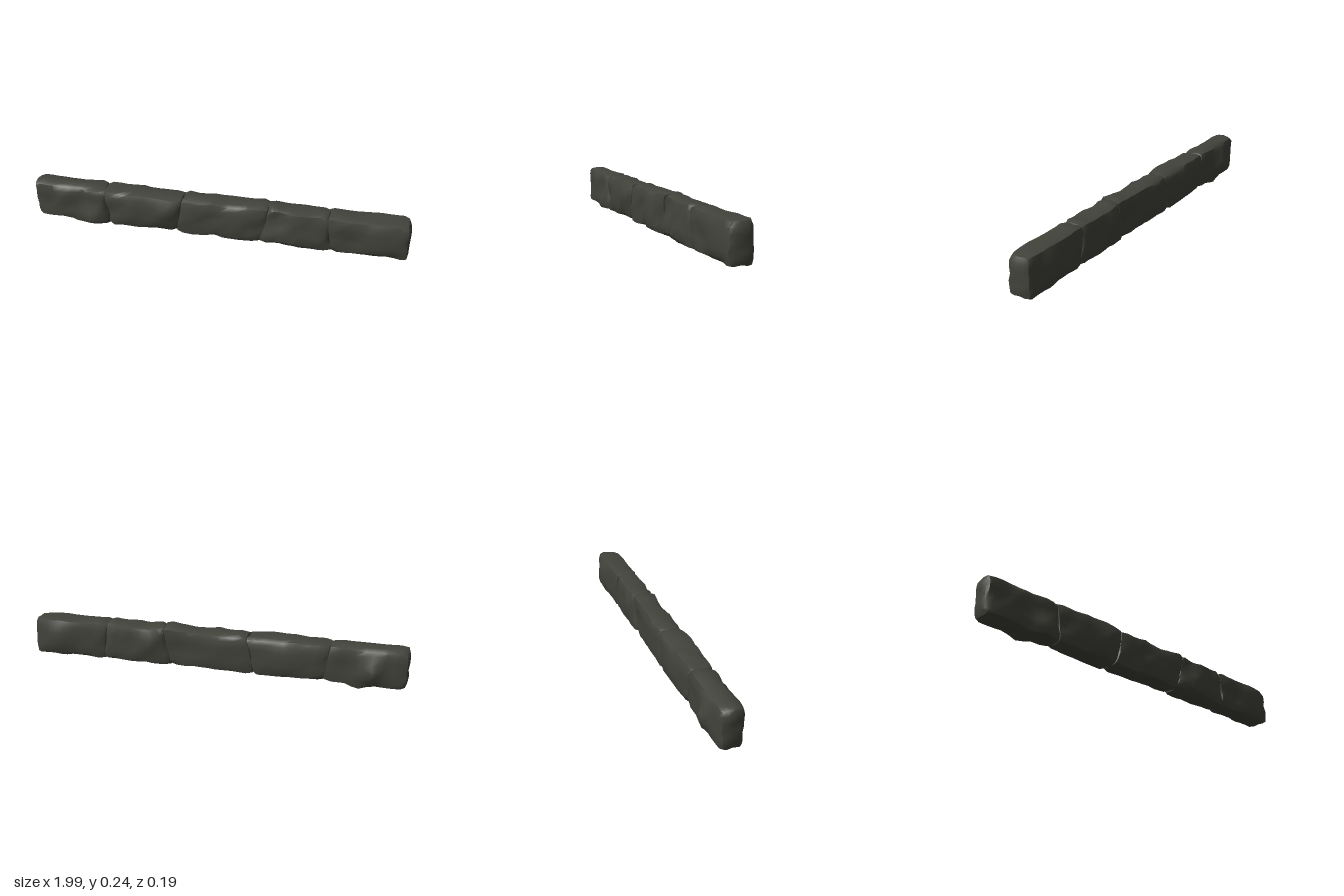
import * as THREE from 'three';
import { mergeVertices, toCreasedNormals } from 'three/addons/utils/BufferGeometryUtils.js';

// Smooth seeded value noise in the range -1..1
function hash(i, j, k) {
  const s = Math.sin(i * 127.1 + j * 311.7 + k * 74.7) * 43758.5453;
  return (s - Math.floor(s)) * 2 - 1;
}
function noise(x, y, z) {
  const i = Math.floor(x), j = Math.floor(y), k = Math.floor(z);
  const ease = t => t * t * (3 - 2 * t), mix = THREE.MathUtils.lerp;
  const u = ease(x - i), v = ease(y - j), w = ease(z - k);
  const edge = (b, c) => mix(hash(i, b, c), hash(i + 1, b, c), u);
  return mix(mix(edge(j, k), edge(j + 1, k), v), mix(edge(j, k + 1), edge(j + 1, k + 1), v), w);
}

// Joints between stones: x at the bottom and at the top
const JOINTS = [[-0.995, -0.995], [-0.575, -0.605], [-0.215, -0.18], [0.23, 0.27], [0.6, 0.575], [0.995, 0.985]];

// Local bulges and hollows: x, y, side (1 front, -1 back), radius, depth
const BUMPS = [
  [-0.66, 0.06, 1, 0.07, 0.032], [-0.74, 0.15, 1, 0.08, -0.012], [-0.95, 0.12, 1, 0.1, -0.015],
  [-0.3, 0.15, 1, 0.1, 0.026], [-0.48, 0.1, 1, 0.08, 0.012], [-0.55, 0.12, 1, 0.05, -0.015],
  [0.08, 0.1, 1, 0.1, 0.012], [0.2, 0.1, 1, 0.05, -0.015], [0.42, 0.08, 1, 0.09, 0.01],
  [0.33, 0.18, 1, 0.06, -0.014], [0.7, 0.1, 1, 0.06, -0.016], [0.85, 0.12, 1, 0.09, 0.01],
  [-0.82, 0.11, -1, 0.06, 0.036], [-0.68, 0.12, -1, 0.09, -0.008], [-0.36, 0.12, -1, 0.1, 0.012],
  [0.2, 0.12, -1, 0.1, -0.014], [0.35, 0.14, -1, 0.06, 0.02], [0.85, 0.13, -1, 0.1, 0.022],
];

// One rough block: a subdivided box shaped by its joints, noise and bumps
function stoneGeometry(index) {
  let geo = new THREE.BoxGeometry(2, 2, 2, 11, 6, 4);
  geo.deleteAttribute('normal');
  geo.deleteAttribute('uv');
  geo = mergeVertices(geo);
  const pos = geo.attributes.position;
  const a = JOINTS[index], b = JOINTS[index + 1];
  for (let n = 0; n < pos.count; n++) {
    const u = pos.getX(n), v = pos.getY(n), w = pos.getZ(n);
    const onX = Math.abs(u) > 0.99, onY = Math.abs(v) > 0.99, onZ = Math.abs(w) > 0.99;
    const t = (v + 1) / 2;
    const x0 = THREE.MathUtils.lerp(a[0], a[1], t) - (index > 0 ? 0.008 : 0);
    const x1 = THREE.MathUtils.lerp(b[0], b[1], t) + (index < 4 ? 0.008 : 0);
    let x = THREE.MathUtils.lerp(x0, x1, (u + 1) / 2);
    let y = 0.13 + v * 0.103, z = w * 0.062;
    // Worn edges and corners
    if (onY && onZ) { y -= v * 0.008; z -= w * 0.008; }
    if (onX && (onY || onZ)) { x -= u * 0.01; y -= onY ? v * 0.006 : 0; z -= onZ ? w * 0.007 : 0; }
    // Chipped surface, rougher on the front
    const s = index * 13.7;
    const rough = noise(x * 11 + s, y * 13, z * 9) + 0.6 * noise(x * 27 + s, y * 29, z * 20 + 5);
    if (onZ) z += w * rough * (w > 0 ? 0.009 : 0.004);
    if (onY) y += v * 0.006 * noise(x * 16 + s, v * 3, z * 18);
    if (onX) x += 0.007 * noise(s + u * 3, y * 22, z * 22);
    else x += 0.012 * noise(x * 20, y * 20 + s, w * 4 + 9);
    if (!onY) y += 0.01 * noise(x * 18 + 4, y * 18 + s, w * 4);
    for (const [bx, by, side, r, d] of BUMPS) {
      if (!onZ || side * w < 0) continue;
      z += side * d * Math.exp(-((x - bx) ** 2 + (y - by) ** 2) / (r * r) * 1.6);
    }
    // Raised crest and low foot
    if (onY && v > 0) y += 0.01 * Math.exp(-(((x - 0.25) / 0.04) ** 2));
    if (onY && v < 0) y -= 0.022 * Math.exp(-(((x + 0.75) / 0.06) ** 2)) * (w < 0 ? 1 : 0.5);
    pos.setXYZ(n, THREE.MathUtils.clamp(x, -1, 1), Math.max(y, 0), z);
  }
  return toCreasedNormals(geo, 0.75);
}

export function createModel() {
  const group = new THREE.Group();
  group.name = 'stoneRow';
  const stone = new THREE.MeshStandardMaterial({ color: 0x42433b });
  stone.name = 'darkStone';
  for (let i = 0; i < JOINTS.length - 1; i++) {
    const mesh = new THREE.Mesh(stoneGeometry(i), stone);
    mesh.name = 'stoneBlock' + (i + 1);
    group.add(mesh);
  }
  return group;
}
